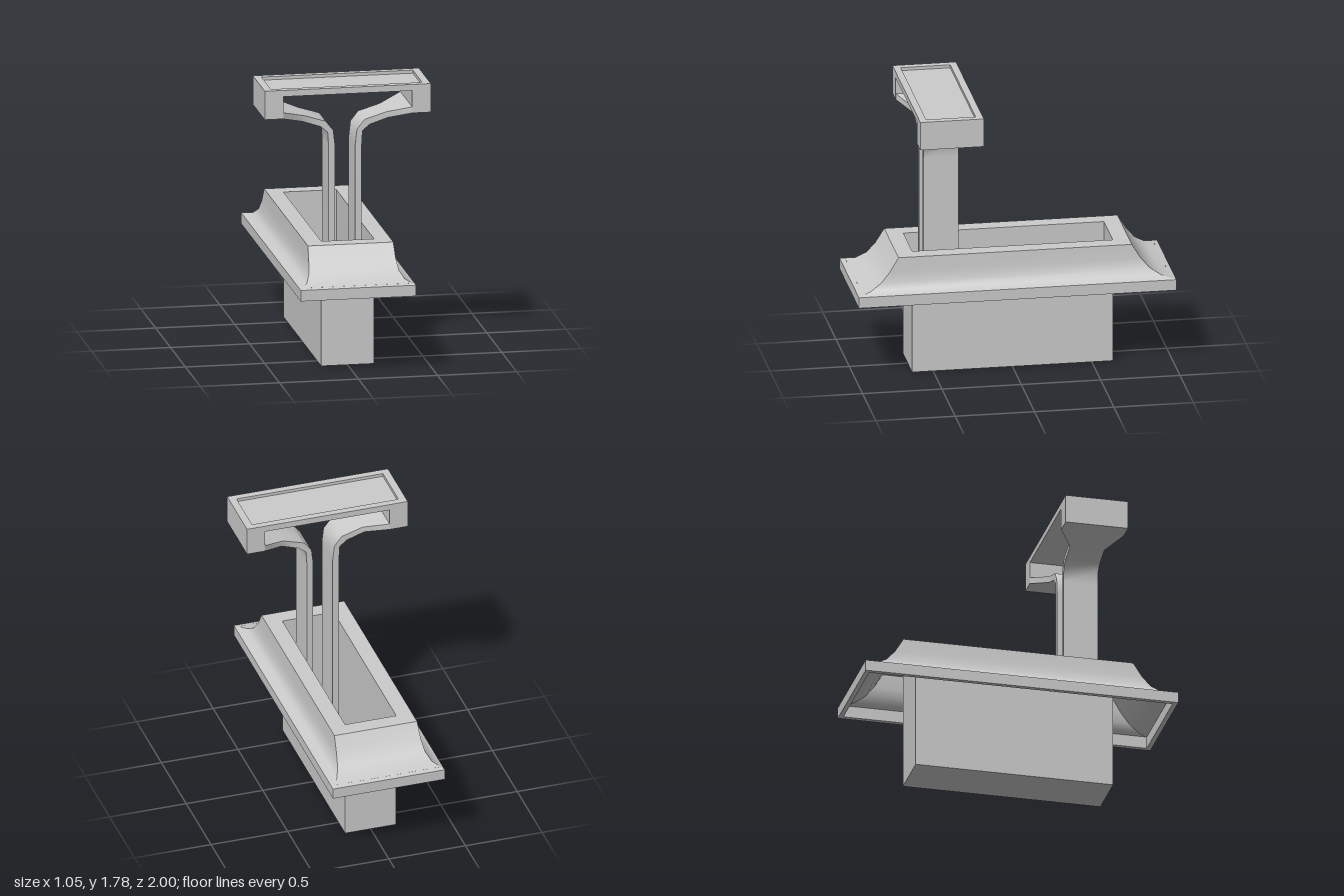
import * as THREE from 'three';
import { mergeGeometries } from 'three/addons/utils/BufferGeometryUtils.js';

const material = new THREE.MeshStandardMaterial({ color: 0xcccccc, side: THREE.DoubleSide });

// Smooth sheet through rows of points
function sheet(rows) {
  const n = rows[0].length;
  const index = [];
  for (let r = 0; r < rows.length - 1; r++) {
    for (let i = 0; i < n - 1; i++) {
      const a = r * n + i, b = a + 1, c = a + n, d = c + 1;
      index.push(a, b, d, a, d, c);
    }
  }
  const g = new THREE.BufferGeometry();
  g.setAttribute('position', new THREE.Float32BufferAttribute(rows.flat(2), 3));
  g.setIndex(index);
  g.computeVertexNormals();
  return g;
}

// Rectangular loft: profile entries are [half width, half depth, height]; corners stay sharp
function rectLoft(profile) {
  const corners = [[-1, 1], [1, 1], [1, -1], [-1, -1]];
  return mergeGeometries(corners.map((p, i) => {
    const q = corners[(i + 1) % 4];
    return sheet(profile.map(([x, z, y]) => [[p[0] * x, y, p[1] * z], [q[0] * x, y, q[1] * z]]));
  }));
}

// Several lofts with hard edges between them
const lofts = (...profiles) => mergeGeometries(profiles.map(rectLoft));

function add(parent, name, geometry) {
  const mesh = new THREE.Mesh(geometry, material);
  mesh.name = name;
  parent.add(mesh);
  return mesh;
}

// Bent strap: stations are [inner x, inner y, outer x, outer y, half depth]
function strap(side, zc) {
  const stations = [
    [0.064, 0, 0.105, 0, 0.11],
    [0.064, 1.39, 0.105, 1.39, 0.11],
    [0.075, 1.486, 0.11, 1.476, 0.11],
    [0.123, 1.547, 0.156, 1.514, 0.11],
    [0.26, 1.589, 0.27, 1.552, 0.11],
    [0.41, 1.637, 0.41, 1.597, 0.2],
  ];
  const face = (pick) => sheet(stations.map((s) => {
    const inner = [side * s[0], s[1]], outer = [side * s[2], s[3]];
    const corners = [
      [...inner, zc + s[4]], [...outer, zc + s[4]],
      [...outer, zc - s[4]], [...inner, zc - s[4]],
    ];
    const pair = [corners[pick], corners[(pick + 1) % 4]];
    return side > 0 ? pair : pair.reverse();
  }));
  return mergeGeometries([0, 1, 2, 3].map(face));
}

export function createModel() {
  const model = new THREE.Group();
  model.name = 'leverOnBase';

  // Hollow base with a concave skirt, a flange lip and a flat deck
  const base = new THREE.Group();
  base.name = 'base';
  model.add(base);
  add(base, 'skirt', rectLoft([
    [0.365, 1, 0.585], [0.31, 0.91, 0.605], [0.285, 0.845, 0.645],
    [0.275, 0.79, 0.71], [0.27, 0.735, 0.8],
  ]));
  add(base, 'flange', lofts(
    [[0.335, 0.97, 0.515], [0.365, 1, 0.515]],
    [[0.365, 1, 0.515], [0.365, 1, 0.585]],
    [[0.335, 0.97, 0.592], [0.335, 0.97, 0.515]],
  ));
  add(base, 'deck', rectLoft([[0.27, 0.735, 0.8], [0.167, 0.632, 0.8]]));

  // Deep thin-walled well
  add(base, 'wellWalls', rectLoft([[0.167, 0.632, 0], [0.167, 0.632, 0.8]]));
  const floor = add(base, 'wellFloor', new THREE.PlaneGeometry(0.334, 1.264));
  floor.rotation.x = Math.PI / 2;

  // Lever: two mirrored straps carrying the grip
  const lever = new THREE.Group();
  lever.name = 'lever';
  model.add(lever);
  const zc = 0.44;
  add(lever, 'leftStrap', strap(1, zc));
  add(lever, 'rightStrap', strap(-1, zc));

  // Grip body: top plate with two end blocks
  const outline = [
    [-0.525, 1.597], [-0.407, 1.597], [-0.407, 1.74], [0.407, 1.74],
    [0.407, 1.597], [0.525, 1.597], [0.525, 1.76], [-0.525, 1.76],
  ].map(([x, y]) => new THREE.Vector2(x, y));
  const body = new THREE.ExtrudeGeometry(new THREE.Shape(outline), { depth: 0.4, bevelEnabled: false });
  add(lever, 'gripBody', body).position.z = zc - 0.2;

  // Raised rim around the shallow recess on top of the grip
  add(lever, 'gripRim', lofts(
    [[0.525, 0.2, 1.76], [0.525, 0.2, 1.78]],
    [[0.525, 0.2, 1.78], [0.478, 0.156, 1.78]],
    [[0.478, 0.156, 1.78], [0.478, 0.156, 1.76]],
  )).position.z = zc;

  return model;
}
